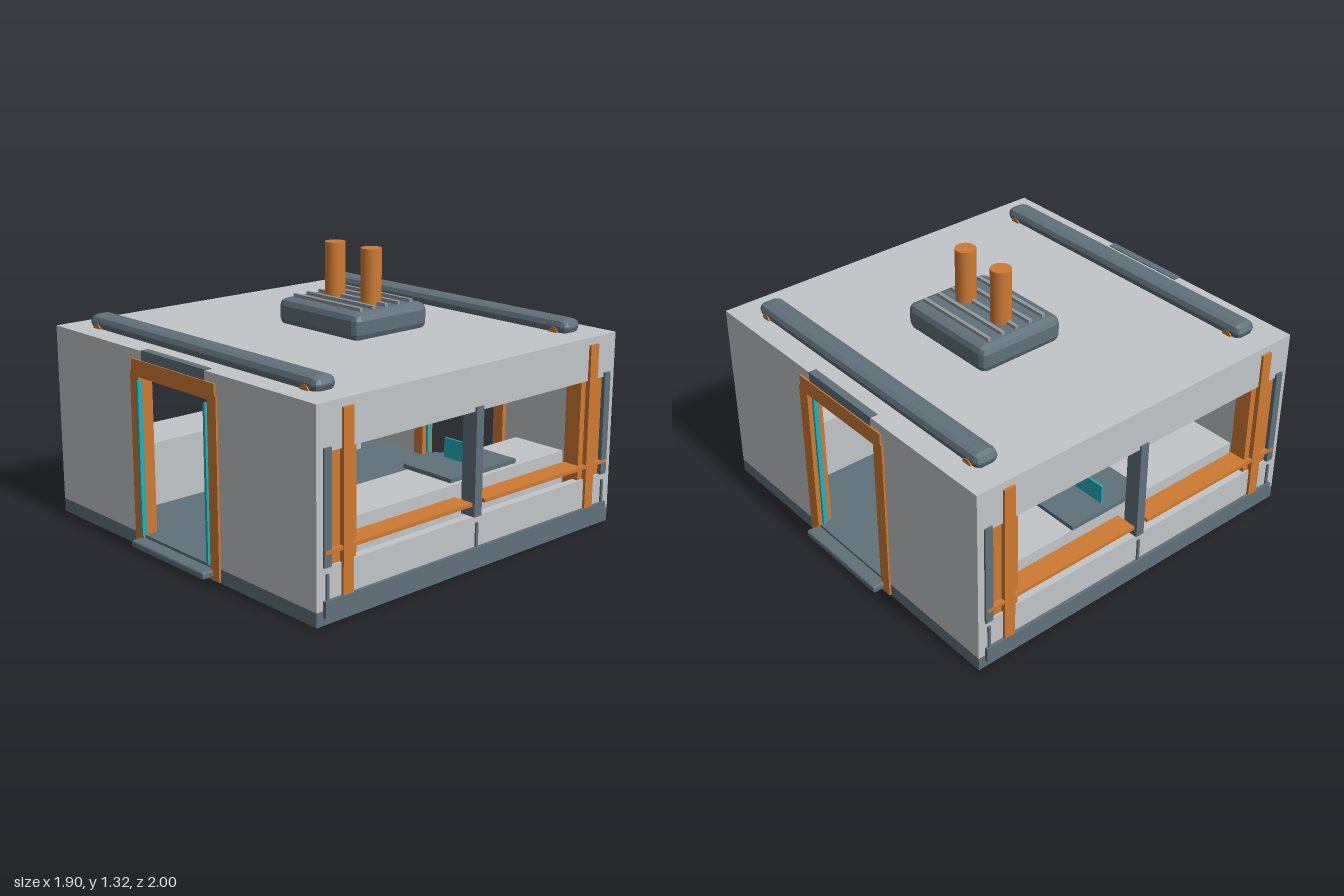
import * as THREE from 'three';
import { RoundedBoxGeometry } from 'three/addons/geometries/RoundedBoxGeometry.js';

const paint = (name, color) => {
  const m = new THREE.MeshStandardMaterial({ color });
  m.name = name;
  return m;
};

export function createModel() {
  const model = new THREE.Group();
  model.name = 'habitatModule';
  const panel = paint('pale grey panel', 0xc2c6c8);
  const steel = paint('blue grey steel', 0x60717b);
  const vent = paint('light steel', 0x8f9aa1);
  const orange = paint('orange', 0xcf7b31);
  const teal = paint('teal light', 0x22b0bc);

  const add = (name, geometry, material) => {
    const mesh = new THREE.Mesh(geometry, material);
    mesh.name = name;
    model.add(mesh);
    return mesh;
  };
  // Box given by its lower and upper limits on each axis
  const box = (name, mat, x0, x1, y0, y1, z0, z1) => {
    const mesh = add(name, new THREE.BoxGeometry(Math.abs(x1 - x0), y1 - y0, Math.abs(z1 - z0)), mat);
    mesh.position.set((x0 + x1) / 2, (y0 + y1) / 2, (z0 + z1) / 2);
    return mesh;
  };
  // Box with faceted, bevelled edges
  const bevelBox = (name, mat, x0, x1, y0, y1, z0, z1, r) => {
    const g = new RoundedBoxGeometry(x1 - x0, y1 - y0, Math.abs(z1 - z0), 1, r);
    g.computeVertexNormals();
    const mesh = add(name, g, mat);
    mesh.position.set((x0 + x1) / 2, (y0 + y1) / 2, (z0 + z1) / 2);
    return mesh;
  };

  // Floor and roof
  box('floor', steel, -0.935, 0.935, 0, 0.065, -0.935, 0.935);
  box('roof', panel, -0.935, 0.935, 0.895, 0.935, -0.935, 0.935);

  // End wall outline with its doorway cut out
  const wall = new THREE.Shape([
    [-0.935, 0.065], [-0.27, 0.065], [-0.27, 0.84], [0.27, 0.84],
    [0.27, 0.065], [0.935, 0.065], [0.935, 0.895], [-0.935, 0.895],
  ].map(([x, y]) => new THREE.Vector2(x, y)));
  const wallGeo = new THREE.ExtrudeGeometry(wall, { depth: 0.04, bevelEnabled: false });

  for (const s of [1, -1]) {
    // Front and back ends
    add('endWall', wallGeo, panel).position.z = s > 0 ? 0.895 : -0.935;
    for (const m of [1, -1]) {
      box('doorJamb', orange, m * 0.25, m * 0.312, 0.005, 0.84, s * 0.87, s * 0.945);
      const z = s > 0 ? 0.945 : -0.91;
      box('doorLight', teal, m * 0.238, m * 0.252, 0.07, 0.8, z - 0.012, z + 0.012);
    }
    box('doorLintel', orange, -0.302, 0.302, 0.815, 0.893, s * 0.87, s * 0.945);
    box('doorHeader', steel, -0.23, 0.23, 0.893, 0.94, s * 0.9, s * 0.939);
    bevelBox('doorStep', steel, -0.27, 0.27, 0.018, 0.052, s * 0.9, s * 1.0, 0.008);

    // Roof rail and its feet
    bevelBox('roofRail', steel, -0.815, 0.815, 0.925, 0.997, s * 0.71, s * 0.83, 0.032);
    for (const m of [1, -1]) {
      const foot = add('railFoot', new THREE.CylinderGeometry(0.025, 0.025, 0.126, 12), orange);
      foot.rotation.x = Math.PI / 2;
      foot.position.set(m * 0.745, 0.936, s * 0.77);
    }

    // Open window sides
    box('lowerSideWall', panel, s * 0.895, s * 0.935, 0.065, 0.25, -0.895, 0.895);
    box('upperSideWall', panel, s * 0.895, s * 0.935, 0.73, 0.895, -0.895, 0.895);
    box('sideSkirt', steel, s * 0.92, s * 0.951, 0.035, 0.108, -0.9, 0.9);
    box('centrePost', steel, s * 0.865, s * 0.945, 0.25, 0.75, -0.023, 0.023);
    for (const z of [-0.88, 0, 0.88]) {
      box('wallRib', steel, s * 0.93, s * 0.943, 0.1, 0.22, z - 0.007, z + 0.007);
    }
    for (const m of [1, -1]) {
      box('endPost', steel, s * 0.9, s * 0.945, 0.25, 0.75, m * 0.86, m * 0.9);
      box('cornerColumn', orange, s * 0.84, s * 0.925, 0.03, 0.92, m * 0.71, m * 0.86);
      box('outerPost', orange, s * 0.92, s * 0.948, 0.1, 0.9, m * 0.743, m * 0.8);
      box('windowShelf', orange, s * 0.84, s * 0.947, 0.305, 0.322, m * 0.04, m * 0.895);
    }

    // Benches with a console on top
    box('bench', panel, s * 0.55, s * 0.84, 0.06, 0.38, -0.7, 0.7);
    box('consoleTop', steel, s * 0.57, s * 0.86, 0.402, 0.422, -0.34, 0.09);
    box('consoleScreen', teal, s * 0.62, s * 0.82, 0.422, 0.515, -0.13, -0.12);
  }

  // Roof unit with vent slats and twin stacks
  bevelBox('roofUnit', steel, -0.28, 0.275, 0.925, 1.058, -0.358, 0.108, 0.035);
  for (let i = 0; i < 5; i++) {
    const z = -0.285 + i * 0.08;
    box('ventSlat', vent, -0.235, 0.23, 1.05, 1.074, z - 0.009, z + 0.009);
  }
  for (const m of [1, -1]) {
    add('stack', new THREE.CylinderGeometry(0.05, 0.05, 0.28, 20), orange)
      .position.set(m * 0.125, 1.182, -0.125);
  }
  return model;
}
